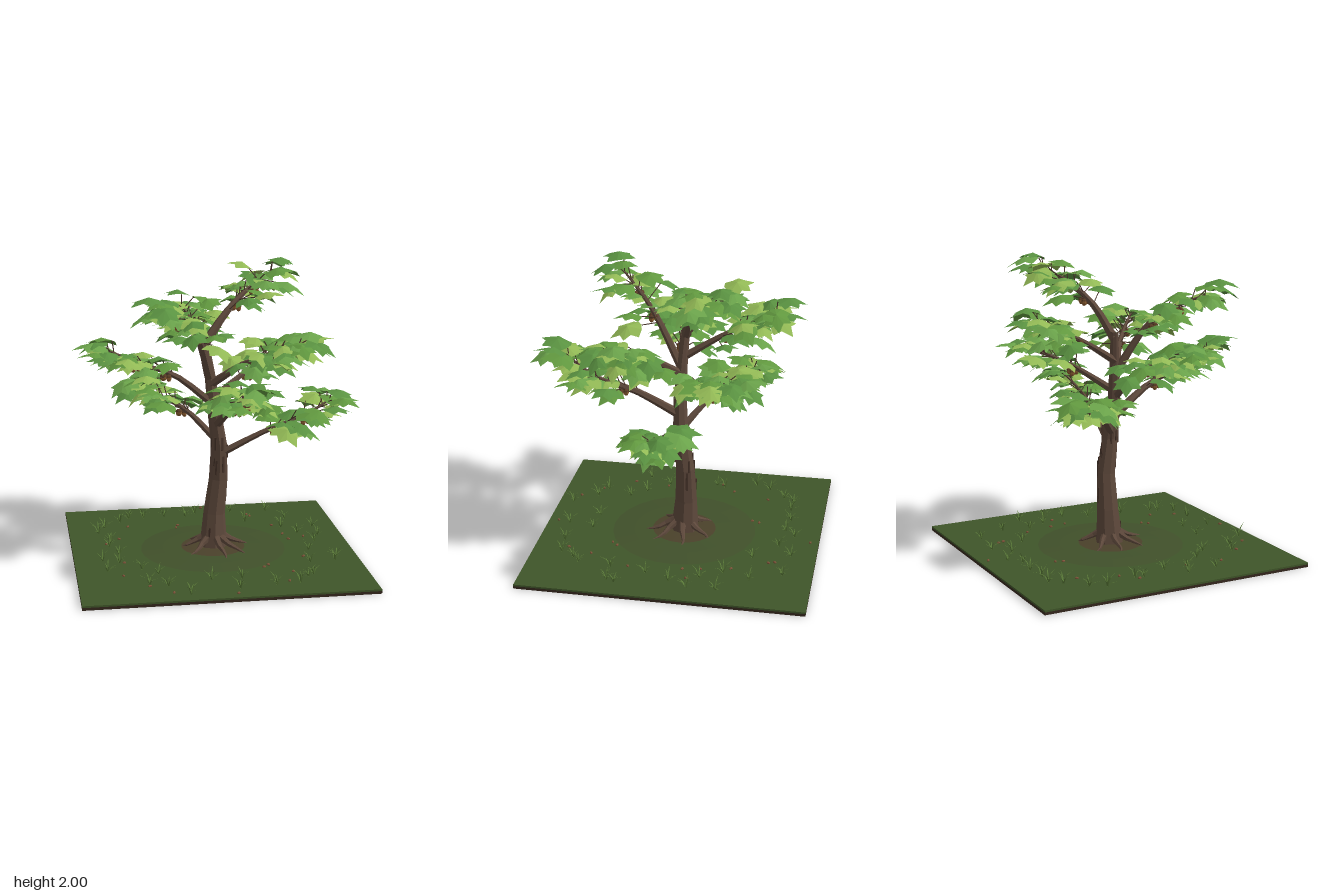
import * as THREE from 'three';
import { mergeGeometries } from 'three/addons/utils/BufferGeometryUtils.js';

let seed = 7;
const rnd = (a = 0, b = 1) => {
  seed = (seed * 16807) % 2147483647;
  return a + (b - a) * (seed / 2147483647);
};
const V = (p) => new THREE.Vector3(...p);
const mat = (color, double) => new THREE.MeshStandardMaterial({
  color, flatShading: true, side: double ? THREE.DoubleSide : THREE.FrontSide });
const GROUND = 0.03;

// Tube along a curve whose radius follows a rule of t
function taperTube(curve, segs, sides, radiusAt) {
  const g = new THREE.TubeGeometry(curve, segs, 1, sides);
  const p = g.attributes.position, v = new THREE.Vector3();
  for (let i = 0; i < p.count; i++) {
    const t = Math.floor(i / (sides + 1)) / segs, c = curve.getPointAt(t);
    v.fromBufferAttribute(p, i).sub(c).multiplyScalar(radiusAt(t)).add(c);
    p.setXYZ(i, v.x, v.y, v.z);
  }
  return g;
}

// Lobed leaf growing along +z, ridged in the middle and drooping at the points
function leafGeometry() {
  const half = [[0, 0, 0], [0.045, -0.004, 0.008], [0.098, -0.022, 0.04], [0.07, -0.008, 0.085],
    [0.09, -0.024, 0.14], [0.038, -0.012, 0.152], [0, -0.04, 0.215]];
  const centre = [0, 0.02, 0.09], pos = [];
  for (let i = 0; i < half.length - 1; i++) {
    const a = half[i], b = half[i + 1], m = ([x, y, z]) => [-x, y, z];
    pos.push(...centre, ...b, ...a, ...centre, ...m(a), ...m(b));
  }
  const g = new THREE.BufferGeometry();
  g.setAttribute('position', new THREE.Float32BufferAttribute(pos, 3));
  g.computeVertexNormals();
  return g;
}

const place = (geo, pos, euler, scale = 1) => geo.clone().applyMatrix4(new THREE.Matrix4().compose(
  pos, new THREE.Quaternion().setFromEuler(euler), new THREE.Vector3(scale, scale, scale)));

export function createModel() {
  seed = 7;
  const root = new THREE.Group();
  const add = (name, geo, material) => {
    const m = new THREE.Mesh(geo, material);
    m.name = name;
    root.add(m);
    return m;
  };
  const bark = mat(0x5d483b), darkBark = mat(0x463329);

  // Ground slab: soil below, turf on top
  add('soilSlab', new THREE.BoxGeometry(1.92, 0.018, 1.92), mat(0x35281d)).position.set(-0.04, 0.009, -0.02);
  add('turf', new THREE.BoxGeometry(1.92, 0.012, 1.92), mat(0x3f5529)).position.set(-0.04, 0.024, -0.02);
  const mound = (name, r0, r1, y0, y1, color) => add(name, new THREE.LatheGeometry(
    [[r1, y0], [(r0 + r1) / 2, (y0 + y1 * 2) / 3], [r0, y1], [0, y1]].map(([x, y]) => new THREE.Vector2(x, y)), 28),
  mat(color)).position.set(-0.03, 0, -0.03);
  mound('grassMound', 0.2, 0.5, 0.03, 0.043, 0x40502a);
  mound('bareSoil', 0.08, 0.22, 0.043, 0.05, 0x4a412a);

  // Leaning trunk with a flared foot, in angular lengths
  const trunkPath = new THREE.CatmullRomCurve3([[-0.025, 0.03, -0.035], [-0.018, 0.28, -0.045], [0.01, 0.52, -0.045],
    [0.012, 0.75, -0.015], [-0.025, 1.02, 0], [-0.05, 1.25, -0.01], [-0.09, 1.52, -0.03]].map(V));
  const trunkRadius = (t) => 0.084 - 0.058 * t + 0.014 * Math.exp(-t * 14);
  add('trunk', taperTube(trunkPath, 6, 8, trunkRadius), bark);

  // Raised bark strips
  const strips = [];
  for (let i = 0; i < 20; i++) {
    const t = rnd(0.08, 0.55), a = rnd(0, 6.28), r = trunkRadius(t) * 0.95;
    const p = trunkPath.getPointAt(t).add(new THREE.Vector3(Math.sin(a) * r, 0, Math.cos(a) * r));
    strips.push(place(new THREE.BoxGeometry(0.012, rnd(0.06, 0.14), 0.01), p, new THREE.Euler(0, a, rnd(-0.1, 0.1), 'YXZ')));
  }
  add('barkStrips', mergeGeometries(strips), darkBark);

  // Surface roots
  const roots = [];
  for (let i = 0; i < 7; i++) {
    const a = i / 7 * Math.PI * 2 + rnd(-0.2, 0.2), l = rnd(0.22, 0.28);
    const at = (r, y, da = 0) => new THREE.Vector3(-0.02 + Math.sin(a + da) * r, y, -0.03 + Math.cos(a + da) * r);
    const path = new THREE.CatmullRomCurve3([at(0.04, 0.13), at(0.12, 0.085), at(0.19, 0.055, 0.1), at(l, 0.035, 0.05)]);
    roots.push(taperTube(path, 5, 6, (t) => 0.026 * (1 - t) + 0.004));
  }
  add('roots', mergeGeometries(roots), bark);

  // Branches: radius at the base, then points along the path
  const branches = [
    [0.024, [0.02, 0.71, -0.01], [0.35, 0.88, 0.03], [0.58, 0.97, 0.06], [0.77, 1.07, 0.02]],
    [0.026, [0, 0.8, 0], [-0.19, 0.98, -0.18], [-0.35, 1.05, -0.34], [-0.47, 1.1, -0.46]],
    [0.03, [-0.01, 0.92, 0], [0.05, 1.1, 0.3], [0.09, 1.19, 0.55], [0.03, 1.3, 0.75]],
    [0.027, [-0.03, 1.06, 0], [-0.3, 1.28, 0.04], [-0.53, 1.37, 0.07], [-0.74, 1.47, 0.09]],
    [0.026, [-0.04, 1.1, 0], [0.2, 1.23, -0.16], [0.36, 1.3, -0.28], [0.5, 1.34, -0.4]],
    [0.028, [-0.05, 1.2, 0], [0.17, 1.37, 0.14], [0.34, 1.45, 0.27], [0.48, 1.53, 0.4]],
    [0.026, [-0.07, 1.32, -0.02], [-0.1, 1.48, -0.28], [-0.12, 1.57, -0.46], [-0.16, 1.63, -0.62]],
    [0.028, [-0.06, 1.25, 0], [-0.17, 1.58, 0.2], [-0.3, 1.7, 0.34], [-0.43, 1.77, 0.46]],
    [0.032, [-0.085, 1.47, -0.03], [0.08, 1.68, -0.1], [0.25, 1.82, -0.2], [0.42, 1.9, -0.31]],
  ];
  const leaf = leafGeometry(), greens = [0x5a9241, 0x6aa24a, 0x92b955, 0x61983f];
  const leaves = greens.map(() => []), wood = [], twigs = [], nuts = [], caps = [];
  const nut = new THREE.SphereGeometry(0.018, 7, 5).scale(1, 1.4, 1);
  const cap = new THREE.SphereGeometry(0.02, 7, 3, 0, Math.PI * 2, 0, Math.PI / 2);
  const up = new THREE.Euler();
  for (const [r, ...pts] of branches) {
    const path = new THREE.CatmullRomCurve3(pts.map(V));
    wood.push(taperTube(path, 8, 6, (t) => r * (1 - 0.82 * t) + 0.002));

    // Leaves on side twigs, alternating left and right, closing on the tip
    const count = 27;
    for (let i = 0; i < count; i++) {
      const s = i / (count - 1), t = 0.38 + 0.62 * s;
      const p = path.getPointAt(t), d = path.getTangentAt(t);
      const spread = i === count - 1 ? 0 : (i % 2 ? 1 : -1) * rnd(0.1, 1.5);
      const yaw = Math.atan2(d.x, d.z) + spread, len = spread ? rnd(0.01, 0.18) * (1 - 0.5 * s) : 0.01;
      const tip = p.clone().add(new THREE.Vector3(Math.sin(yaw) * len, rnd(-0.01, 0.09), Math.cos(yaw) * len));
      twigs.push(taperTube(new THREE.LineCurve3(p, tip), 1, 4, () => 0.0035));
      leaves[Math.floor(i * 6.472) % 4].push(
        place(leaf, tip, new THREE.Euler(rnd(-0.35, 0.35), yaw + rnd(-0.3, 0.3), rnd(-0.3, 0.3), 'YXZ'), rnd(0.85, 1.1)));
    }

    // Hanging nut clusters
    for (const t of [0.5, 0.76]) {
      const p = path.getPointAt(t);
      for (let k = 0; k < 4; k++) {
        const a = k * 1.57 + t * 5;
        const q = p.clone().add(new THREE.Vector3(Math.sin(a) * 0.024, -0.035 - 0.008 * (k % 2), Math.cos(a) * 0.024));
        nuts.push(place(nut, q, up));
        caps.push(place(cap, q.clone().setY(q.y + 0.006), up));
        twigs.push(taperTube(new THREE.LineCurve3(p, q), 1, 4, () => 0.003));
      }
    }
  }
  add('branches', mergeGeometries(wood), bark);
  add('twigs', mergeGeometries(twigs), darkBark);
  leaves.forEach((l, i) => add('leaves', mergeGeometries(l), mat(greens[i], true)));
  add('nuts', mergeGeometries(nuts), mat(0x87592f));
  add('nutCaps', mergeGeometries(caps), mat(0x5a3d25));

  // Grass tufts in a loose ring: thin blades bending outward
  const blades = [], fallen = [];
  for (let i = 0; i < 40; i++) {
    const a = i / 40 * Math.PI * 2 + rnd(-0.08, 0.08), r = rnd(0.62, 0.92);
    const x = -0.03 + Math.sin(a) * r, z = -0.02 + Math.cos(a) * r;
    for (let k = 0; k < 7; k++) {
      const b = k * 0.9 + rnd(0, 0.5), h = rnd(0.035, 0.085), l = rnd(0.03, 0.075), w = 0.005;
      const s = Math.sin(b), c = Math.cos(b), g = new THREE.BufferGeometry();
      const at = (f, y, side) => [x + s * l * f + c * side, GROUND + y, z + c * l * f - s * side];
      const p0 = at(0, 0, -w), p1 = at(0, 0, w), m0 = at(0.4, h * 0.7, -w * 0.7), m1 = at(0.4, h * 0.7, w * 0.7);
      g.setAttribute('position', new THREE.Float32BufferAttribute(
        [...p0, ...p1, ...m1, ...p0, ...m1, ...m0, ...m0, ...m1, ...at(1, h, 0)], 3));
      g.computeVertexNormals();
      blades.push(g);
    }
  }
  add('grassTufts', mergeGeometries(blades), mat(0x5a7a38, true));

  // Fallen nuts on the turf
  for (let i = 0; i < 22; i++) {
    const a = rnd(0, 6.28), r = rnd(0.5, 0.92);
    fallen.push(place(nut, new THREE.Vector3(-0.04 + Math.sin(a) * r, 0.034, -0.02 + Math.cos(a) * r),
      new THREE.Euler(1.5, rnd(0, 6), 0, 'YXZ'), 0.5));
  }
  add('fallenNuts', mergeGeometries(fallen), mat(0x7a5238));
  return root;
}
